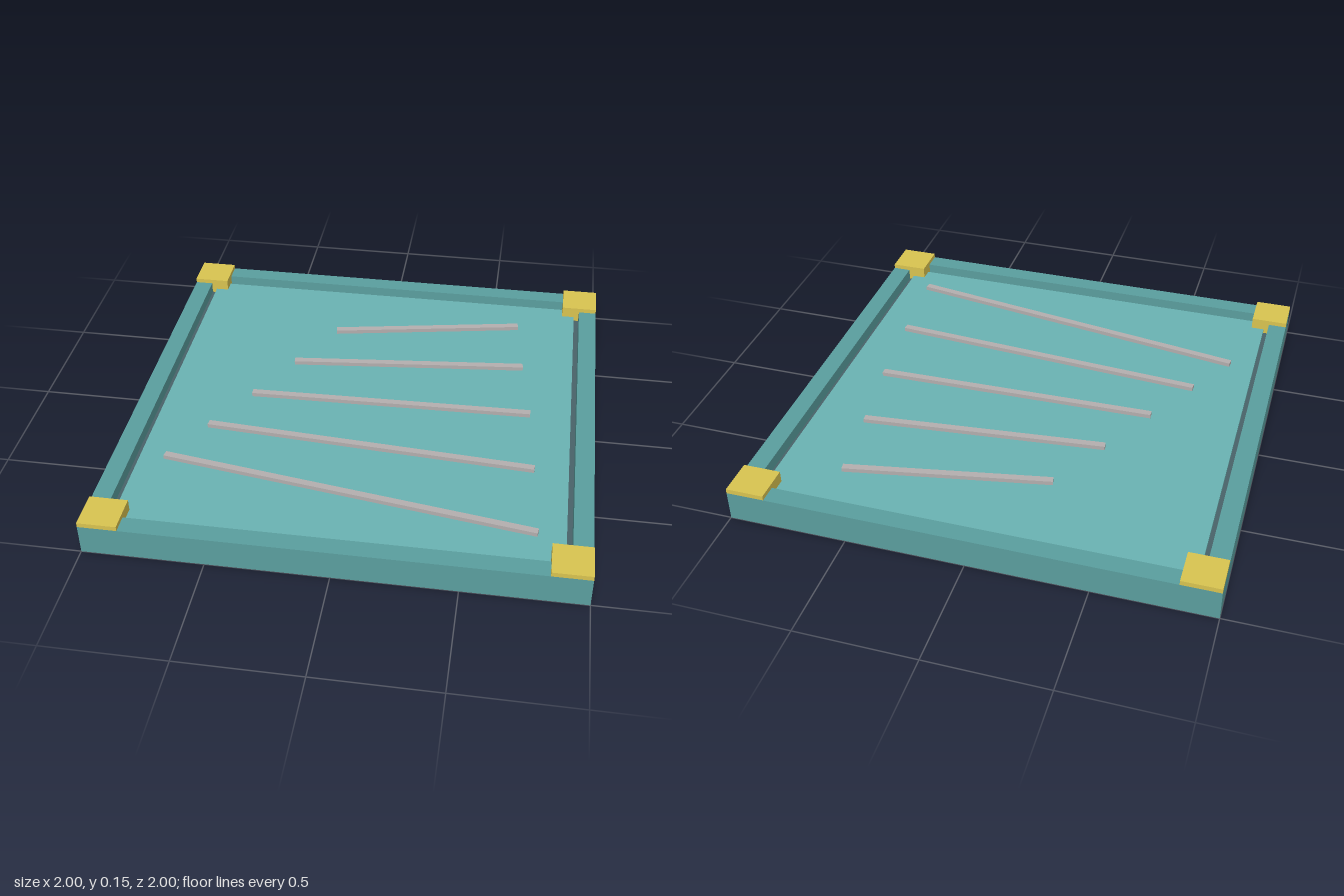
import * as THREE from 'three';

const mat = (color) => new THREE.MeshStandardMaterial({ color });

// Box spanning y0..y1, centred on x, z
function slab(name, w, d, y0, y1, material, x = 0, z = 0) {
  const mesh = new THREE.Mesh(new THREE.BoxGeometry(w, y1 - y0, d), material);
  mesh.position.set(x, (y0 + y1) / 2, z);
  mesh.name = name;
  return mesh;
}

function square(path, h) {
  path.moveTo(-h, -h);
  path.lineTo(h, -h);
  path.lineTo(h, h);
  path.lineTo(-h, h);
  path.closePath();
  return path;
}

export function createModel() {
  const group = new THREE.Group();
  group.name = 'framedPanel';

  // Raised border frame
  const outline = square(new THREE.Shape(), 1);
  outline.holes.push(square(new THREE.Path(), 0.92));
  const frameGeo = new THREE.ExtrudeGeometry(outline, { depth: 0.13, bevelEnabled: false });
  frameGeo.rotateX(-Math.PI / 2);
  const frame = new THREE.Mesh(frameGeo, mat(0x5a9e9e));
  frame.name = 'frame';
  group.add(frame);

  // Dark base plate, showing as a thin groove around the panel
  group.add(slab('basePlate', 1.84, 1.84, 0.004, 0.08, mat(0x486268)));
  group.add(slab('panel', 1.795, 1.795, 0.07, 0.1, mat(0x6ab2b2)));

  // Corner blocks: a post inside the frame with a cap standing proud
  const yellow = mat(0xd8c350);
  for (const sx of [-1, 1]) {
    for (const sz of [-1, 1]) {
      const corner = new THREE.Group();
      corner.name = 'cornerBlock';
      corner.add(slab('cornerPost', 0.158, 0.158, 0.002, 0.13, yellow, sx * 0.919, sz * 0.919));
      corner.add(slab('cornerCap', 0.16, 0.16, 0.13, 0.15, yellow, sx * 0.92, sz * 0.92));
      group.add(corner);
    }
  }

  // Fanned strips on the panel: [x0, z0, x1, z1]
  const stripMat = mat(0xb3aeae);
  const strips = [
    [-0.23, -0.54, 0.63, -0.7],
    [-0.38, -0.26, 0.67, -0.365],
    [-0.52, 0.01, 0.72, -0.015],
    [-0.66, 0.26, 0.755, 0.36],
    [-0.79, 0.495, 0.785, 0.745],
  ];
  for (const [x0, z0, x1, z1] of strips) {
    const len = Math.hypot(x1 - x0, z1 - z0);
    const strip = slab('strip', len, 0.03, 0.095, 0.118, stripMat, (x0 + x1) / 2, (z0 + z1) / 2);
    strip.rotation.y = -Math.atan2(z1 - z0, x1 - x0);
    group.add(strip);
  }
  return group;
}
